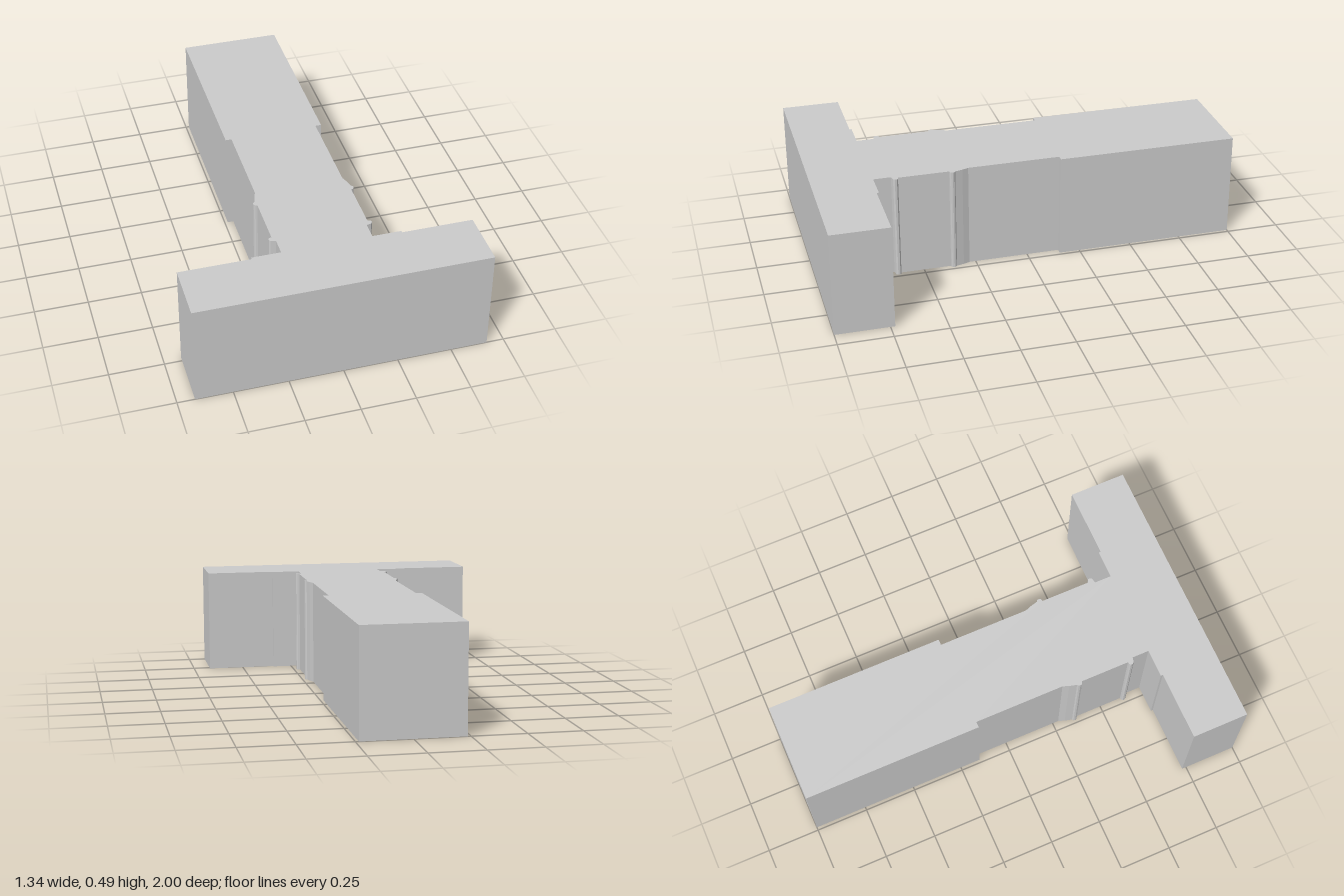
import * as THREE from 'three';

const HEIGHT = 0.493;

// Half outline seen from above as [x, z], from the back end to the front face
const halfOutline = [
  [0.235, -1], [0.235, -0.153],                                   // thick rear block
  [0.207, -0.153], [0.207, 0.28],                                 // slim neck
  [0.218, 0.31], [0.227, 0.345], [0.234, 0.35], [0.236, 0.358],   // flared rib
  [0.234, 0.366], [0.228, 0.37], [0.22, 0.372],
  [0.22, 0.608],                                                  // raised panel
  [0.23, 0.61], [0.236, 0.616], [0.236, 0.626], [0.23, 0.633],    // small bead
  [0.207, 0.638], [0.207, 0.719],
  [0.341, 0.719], [0.341, 0.729],                                 // shallow step on the crossbar
  [0.67, 0.729], [0.67, 1],                                       // crossbar
];

export function createModel() {
  const group = new THREE.Group();
  group.name = 'tShapedBlock';

  // Mirror the half outline; shape y becomes -z once laid flat
  const right = halfOutline.map(([x, z]) => new THREE.Vector2(x, -z));
  const left = halfOutline.map(([x, z]) => new THREE.Vector2(-x, -z)).reverse();
  const shape = new THREE.Shape([...right, ...left]);

  const geometry = new THREE.ExtrudeGeometry(shape, { depth: HEIGHT, bevelEnabled: false });
  geometry.rotateX(-Math.PI / 2);

  const material = new THREE.MeshStandardMaterial({ color: 0xcccccc, flatShading: true });
  const body = new THREE.Mesh(geometry, material);
  body.name = 'stemAndCrossbar';
  group.add(body);
  return group;
}
